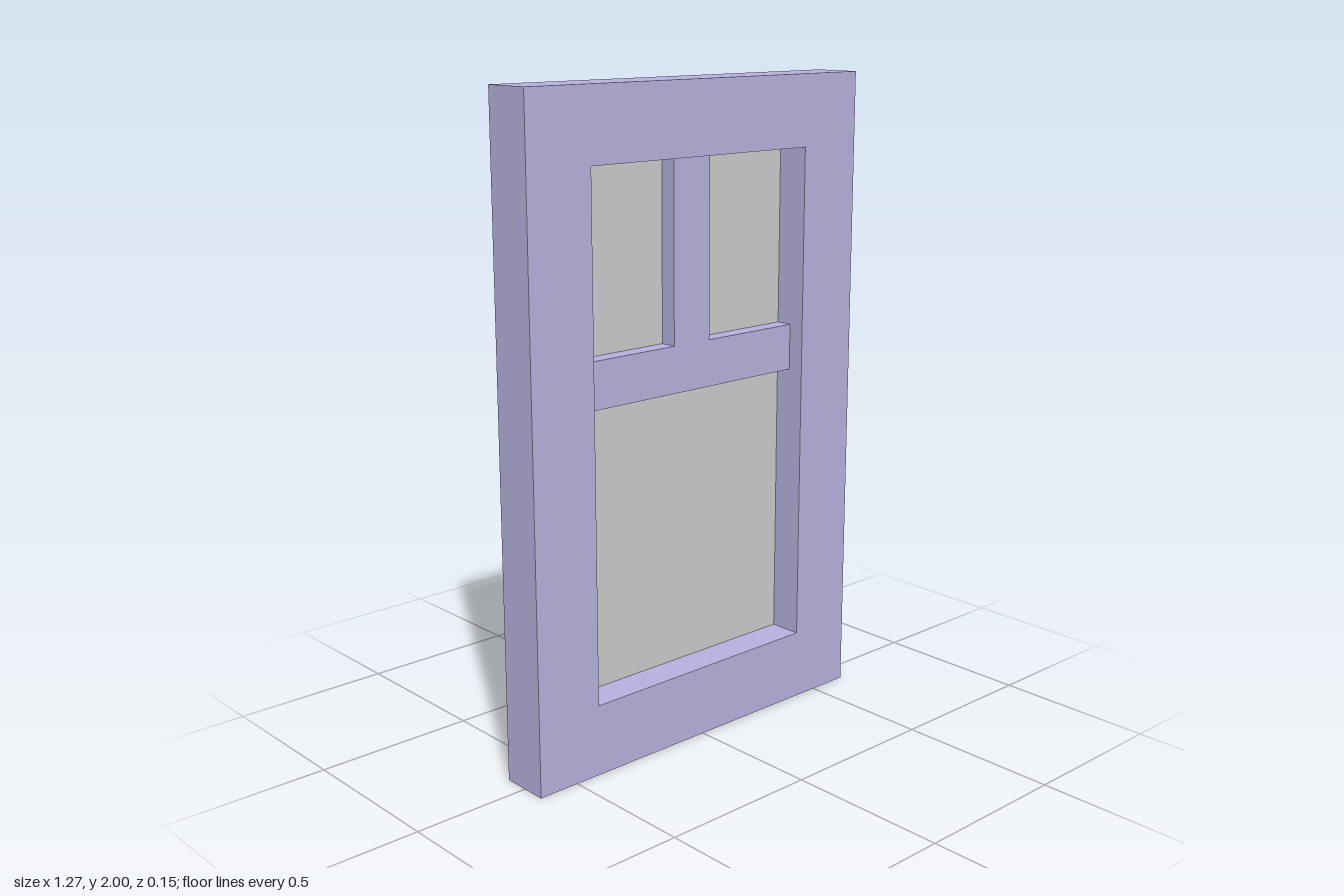
import * as THREE from 'three';

const FRONT = 0.077, BACK = -0.077; // open-backed casing
const BAR_Z = 0.025, PANE_Z = -0.027; // stepped recess depths

const frameMat = new THREE.MeshStandardMaterial({ color: 0xb7b2de, side: THREE.DoubleSide, flatShading: true });
const paneMat = new THREE.MeshStandardMaterial({ color: 0xcccccc, side: THREE.DoubleSide, flatShading: true });

// Rectangles as [x0, y0, x1, y1]
const casing = [-0.633, 0, 0.633, 2];
const opening = [-0.415, 0.22, 0.415, 1.783];
const panes = {
  lowerPane: [-0.415, 0.22, 0.415, 1.09],
  upperRightPane: [-0.415, 1.233, -0.07, 1.783],
  upperLeftPane: [0.07, 1.233, 0.415, 1.783],
};
const bars = {
  crossBar: [-0.415, 1.09, 0.415, 1.233],
  mullion: [-0.07, 1.233, 0.07, 1.783],
};

const corners = ([x0, y0, x1, y1]) => [[x0, y0], [x1, y0], [x1, y1], [x0, y1]].map(([x, y]) => new THREE.Vector2(x, y));

// Flat sheet at depth z, with an optional rectangular hole
function sheet(rect, z, hole) {
  const shape = new THREE.Shape(corners(rect));
  if (hole) shape.holes.push(new THREE.Path(corners(hole)));
  return new THREE.ShapeGeometry(shape).translate(0, 0, z);
}

// Four thin walls around a rectangle, running from depth zb to zf, facing outward
function sleeve(rect, zb, zf) {
  const c = corners(rect), pos = [];
  c.forEach((a, i) => {
    const b = c[(i + 1) % 4];
    pos.push(a.x, a.y, zb, b.x, b.y, zb, b.x, b.y, zf);
    pos.push(a.x, a.y, zb, b.x, b.y, zf, a.x, a.y, zf);
  });
  const geo = new THREE.BufferGeometry();
  geo.setAttribute('position', new THREE.Float32BufferAttribute(pos, 3));
  geo.computeVertexNormals();
  return geo;
}

export function createModel() {
  const model = new THREE.Group();
  model.name = 'window';
  const add = (name, geometry, material = frameMat) => {
    const mesh = new THREE.Mesh(geometry, material);
    mesh.name = name;
    model.add(mesh);
  };

  // Casing: front face and outer sides
  add('frameFace', sheet(casing, FRONT, opening));
  add('frameSides', sleeve(casing, BACK, FRONT));

  // First step of the recess, then the glazing bars
  add('openingReveal', sleeve(opening, BAR_Z, FRONT));
  for (const [name, rect] of Object.entries(bars)) add(name, sheet(rect, BAR_Z));

  // Each pane sits at the end of its own deeper reveal
  for (const [name, rect] of Object.entries(panes)) {
    add(name + 'Reveal', sleeve(rect, PANE_Z, BAR_Z));
    add(name, sheet(rect, PANE_Z), paneMat);
  }
  return model;
}
